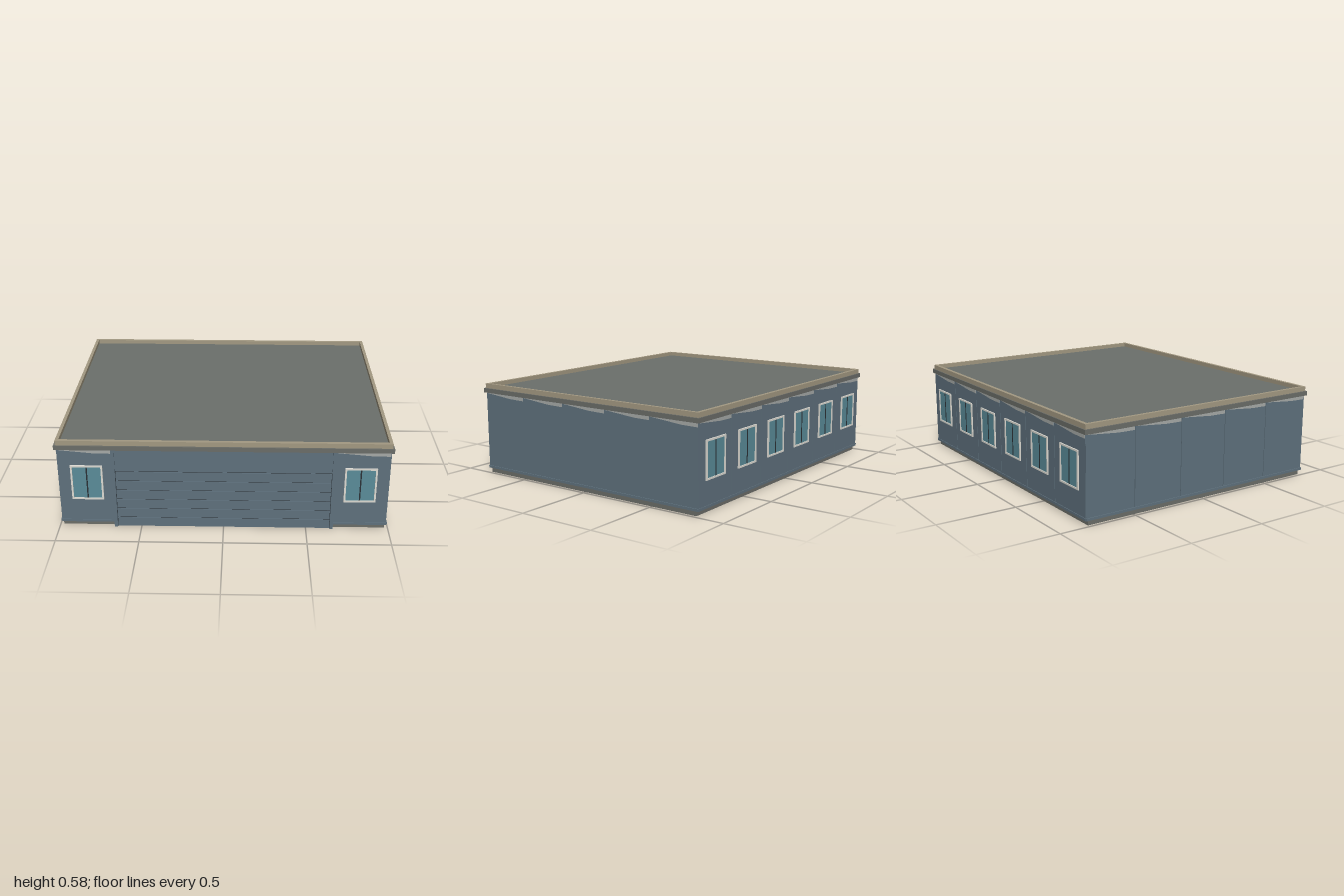
import * as THREE from 'three';

const mat = (color) => new THREE.MeshStandardMaterial({ color });
const wallMat = mat(0x5f717d), stoneMat = mat(0x6b6d68), trimMat = mat(0xa39982);
const roofMat = mat(0x6b706b), glassMat = mat(0x5a8c99), frameMat = mat(0xdedcd4);
const seamMat = mat(0x2b3136), paleMat = mat(0xa6aaa8);

// Box given by its min and max on each axis
function box(parent, name, material, [x0, x1], [y0, y1], [z0, z1]) {
  const mesh = new THREE.Mesh(new THREE.BoxGeometry(x1 - x0, y1 - y0, z1 - z0), material);
  mesh.position.set((x0 + x1) / 2, (y0 + y1) / 2, (z0 + z1) / 2);
  mesh.name = name;
  parent.add(mesh);
  return mesh;
}

// Rectangular ring lying flat, from y0 to y1
function ring(parent, name, material, outer, inner, y0, y1) {
  const rect = (target, [w, d]) => target.moveTo(-w, -d).lineTo(w, -d).lineTo(w, d).lineTo(-w, d).closePath();
  const shape = rect(new THREE.Shape(), outer);
  shape.holes.push(rect(new THREE.Path(), inner));
  const mesh = new THREE.Mesh(new THREE.ExtrudeGeometry(shape, { depth: y1 - y0, bevelEnabled: false }), material);
  mesh.rotation.x = -Math.PI / 2;
  mesh.position.y = y0;
  mesh.name = name;
  parent.add(mesh);
}

const Y0 = 0.03, Y1 = 0.525;      // wall bottom and top
const HALF_X = 0.986, HALF_Z = 0.826;

// One cladding panel between u0 and u1, its face at w, with a pale strip under the eaves
function panel(side, u0, u1, w) {
  box(side, 'wallPanel', wallMat, [u0 + 0.002, u1 - 0.002], [Y0, Y1], [w - 0.016, w]);
  const s = new THREE.Shape();
  s.moveTo(u0 + 0.005, Y1 - 0.004);
  s.lineTo(u0 + (u1 - u0) * 0.65, 0.502);
  s.lineTo(u1 - 0.005, 0.5);
  s.lineTo(u1 - 0.005, Y1);
  s.lineTo(u0 + 0.005, Y1);
  const strip = new THREE.Mesh(new THREE.ExtrudeGeometry(s, { depth: 0.002, bevelEnabled: false }), paleMat);
  strip.position.z = w;
  strip.name = 'eavesStrip';
  side.add(strip);
}

// Two-pane window centred on u
function makeWindow(side, u, w) {
  const g = new THREE.Group();
  g.name = 'window';
  const a = 0.096, t = 0.011, y0 = 0.19, y1 = 0.42;
  box(g, 'glass', glassMat, [-a + t, a - t], [y0 + t, y1 - t], [0, 0.003]);
  for (const s of [-1, 1]) {
    const xs = s < 0 ? [-a, -a + t] : [a - t, a];
    box(g, 'frameSide', frameMat, xs, [y0, y1], [0, 0.008]);
  }
  box(g, 'frameTop', frameMat, [-a + t, a - t], [y1 - t, y1], [0, 0.008]);
  box(g, 'frameSill', frameMat, [-a + t, a - t], [y0, y0 + t], [0, 0.008]);
  box(g, 'mullion', seamMat, [-0.004, 0.004], [y0 + t, y1 - t], [0.003, 0.005]);
  g.position.set(u, 0, w);
  side.add(g);
}

// A facade is built facing +z and then turned into place
function facade(root, name, angle) {
  const side = new THREE.Group();
  side.name = name;
  side.rotation.y = angle;
  root.add(side);
  return side;
}

export function createModel() {
  const root = new THREE.Group();
  root.name = 'garageBuilding';

  // Plinth and the dark core seen in the panel joints
  box(root, 'plinth', stoneMat, [-0.98, 0.98], [0, Y0], [-0.81, 0.81]);
  box(root, 'wallCore', seamMat, [-0.978, 0.978], [Y0, Y1], [-0.818, 0.818]);

  // Plain side walls with five panels each
  for (const s of [-1, 1]) {
    const side = facade(root, s > 0 ? 'rightWall' : 'leftWall', s * Math.PI / 2);
    const step = HALF_Z * 2 / 5;
    for (let i = 0; i < 5; i++) panel(side, -HALF_Z + i * step, -HALF_Z + (i + 1) * step, HALF_X);
    box(side, 'baseTrim', wallMat, [-HALF_Z, HALF_Z], [Y0, 0.045], [HALF_X, 0.992]);
  }

  // Back wall with six windowed bays
  const back = facade(root, 'backWall', Math.PI);
  const bay = HALF_X * 2 / 6;
  for (let i = 0; i < 6; i++) {
    const u = -HALF_X + i * bay;
    panel(back, u, u + bay, HALF_Z);
    makeWindow(back, u + bay / 2, HALF_Z);
  }
  box(back, 'baseTrim', wallMat, [-HALF_X, HALF_X], [Y0, 0.045], [HALF_Z, 0.83]);

  // Front wall: a windowed panel and a door post on either side
  const front = facade(root, 'frontWall', 0);
  for (const s of [-1, 1]) {
    const span = (a, b) => (s > 0 ? [a, b] : [-b, -a]);
    panel(front, ...span(0.66, HALF_X), HALF_Z);
    makeWindow(front, s * 0.815, HALF_Z);
    box(front, 'baseTrim', wallMat, span(0.665, HALF_X), [Y0, 0.045], [HALF_Z, 0.83]);
    box(front, 'doorPost', wallMat, span(0.645, 0.665), [0, Y1], [0.8, 0.835]);
  }
  box(front, 'doorHeader', wallMat, [-0.645, 0.645], [0.383, Y1], [0.8, HALF_Z]);

  // Sectional door
  const door = new THREE.Group();
  door.name = 'garageDoor';
  root.add(door);
  box(door, 'doorBacking', seamMat, [-0.645, 0.645], [0, 0.383], [0.805, 0.819]);
  const rows = 6, rowH = 0.38 / rows;
  for (let i = 0; i < rows; i++) {
    box(door, 'doorSection', wallMat, [-0.643, 0.643], [i * rowH, (i + 1) * rowH - 0.004], [0.81, 0.823]);
  }

  // Roof deck, eaves band and parapet
  box(root, 'roofDeck', roofMat, [-0.975, 0.975], [Y1, 0.556], [-0.81, 0.81]);
  ring(root, 'eavesBand', stoneMat, [1, 0.836], [0.97, 0.805], Y1, 0.553);
  ring(root, 'parapet', trimMat, [0.99, 0.828], [0.97, 0.806], 0.553, 0.582);

  return root;
}
